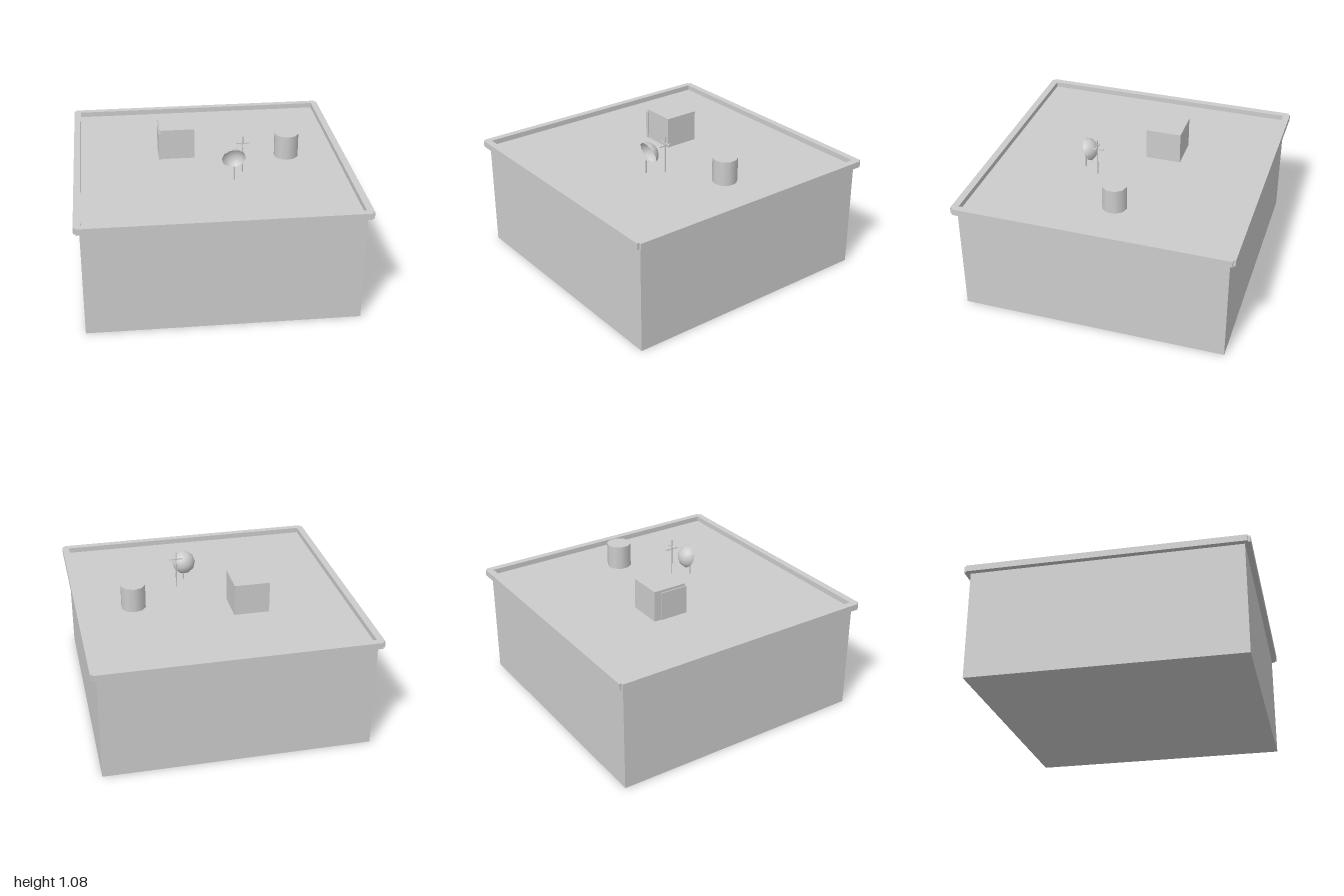
import * as THREE from 'three';

const grey = new THREE.MeshStandardMaterial({ color: 0xcccccc });
const thin = new THREE.MeshStandardMaterial({ color: 0xcccccc, side: THREE.DoubleSide });
const DECK = 0.8;

export function createModel() {
  const model = new THREE.Group();
  model.name = 'flatRoofBuilding';

  const add = (name, geometry, x, y, z, parent = model, material = grey) => {
    const mesh = new THREE.Mesh(geometry, material);
    mesh.name = name;
    mesh.position.set(x, y, z);
    parent.add(mesh);
    return mesh;
  };
  const box = (name, w, h, d, x, y, z, parent) =>
    add(name, new THREE.BoxGeometry(w, h, d), x, y, z, parent);
  const group = (name) => {
    const g = new THREE.Group();
    g.name = name;
    model.add(g);
    return g;
  };

  // Main block, its top is the roof deck
  box('building', 1.92, DECK, 1.92, 0, DECK / 2, 0);

  // Parapet: four rails that leave small notches at the corners
  const parapet = group('parapet');
  for (const s of [-1, 1]) {
    box('parapetRailZ', 1.966, 0.046, 0.05, 0, 0.816, s * 0.975, parapet);
    box('parapetRailX', 0.05, 0.046, 1.966, s * 0.975, 0.816, 0, parapet);
  }

  // Stair hut with a door slab on its -x side
  const hut = group('stairHut');
  box('hutBody', 0.256, 0.23, 0.256, -0.234, 0.915, -0.208, hut);
  box('hutDoor', 0.025, 0.21, 0.212, -0.357, 0.905, -0.178, hut);

  // Water tank
  add('waterTank', new THREE.CylinderGeometry(0.09, 0.09, 0.18, 10), 0.58, DECK + 0.09, -0.055);

  // Aerial: mast with two crossed bars at different heights
  const aerial = group('aerial');
  add('mast', new THREE.CylinderGeometry(0.005, 0.005, 0.28, 6), 0.216, DECK + 0.14, 0.193, aerial);
  box('crossBarX', 0.096, 0.008, 0.008, 0.216, 1.025, 0.193, aerial);
  box('crossBarZ', 0.008, 0.008, 0.096, 0.216, 1.006, 0.193, aerial);

  // Satellite dish: an open spherical cap tipped towards the front
  const dish = group('satelliteDish');
  const bowl = new THREE.SphereGeometry(0.09, 10, 6, 0, Math.PI * 2, 0, 1.31);
  add('dishBowl', bowl, 0.142, 0.941, 0.308, dish, thin).rotation.x = -1.21;
  add('dishPost', new THREE.CylinderGeometry(0.007, 0.007, 0.1, 6), 0.142, DECK + 0.05, 0.31, dish);

  return model;
}
